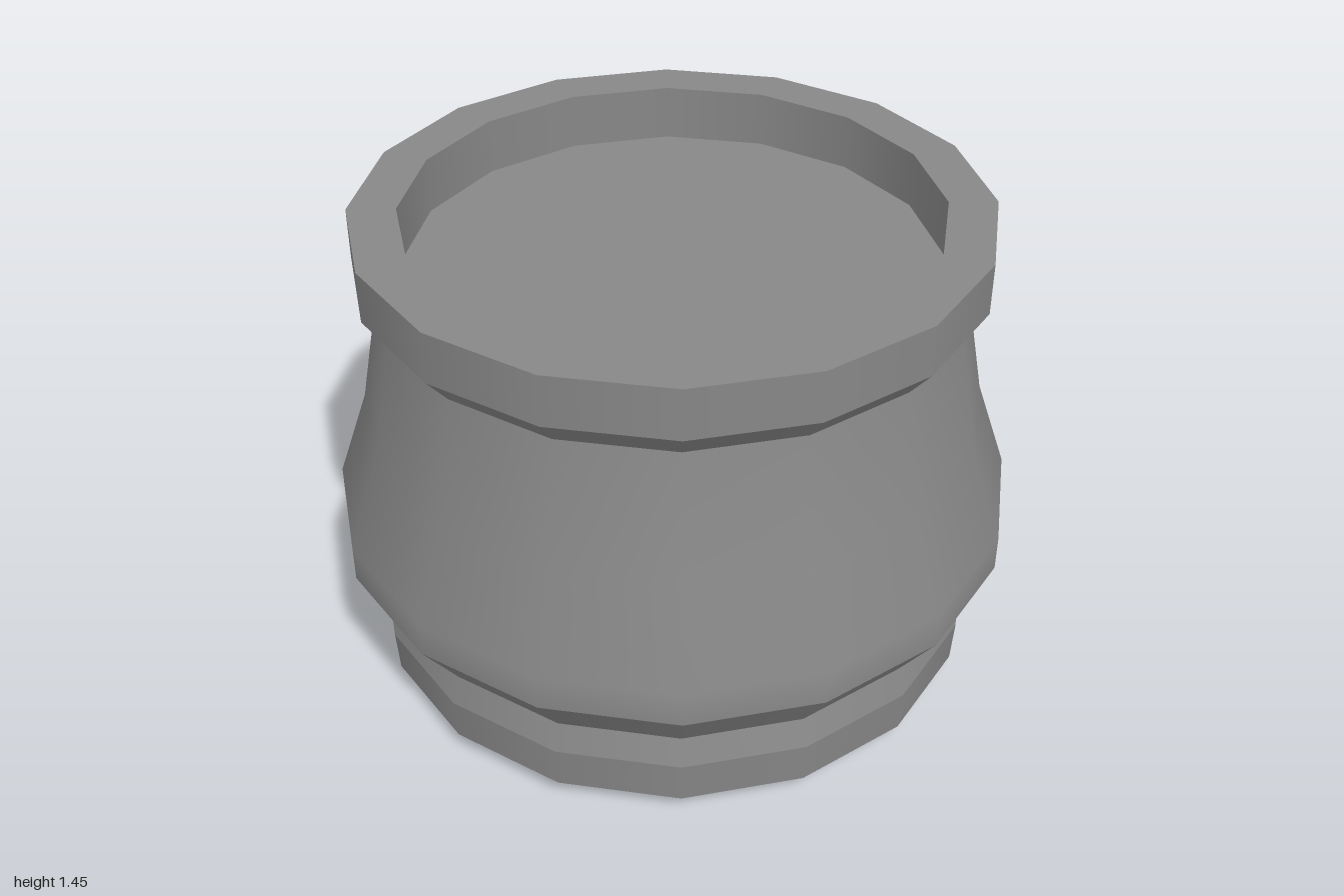
import * as THREE from 'three';

const SIDES = 16;
const FLOOR_RADIUS = 0.76;
const FLOOR_Y = 1.28;

export function createModel() {
  const group = new THREE.Group();
  group.name = 'pot';
  const material = new THREE.MeshStandardMaterial({ color: 0x878787 });

  const add = (name, geometry) => {
    const mesh = new THREE.Mesh(geometry, material);
    mesh.name = name;
    group.add(mesh);
    return mesh;
  };

  // Turned band from [radius, height] points: smooth inside, sharp where bands meet
  const band = (name, ...points) => {
    const profile = points.map(([r, y]) => new THREE.Vector2(r, y));
    add(name, new THREE.LatheGeometry(profile, SIDES));
  };

  // Flat disc facing up or down
  const disc = (name, y, up) => {
    const geometry = new THREE.CircleGeometry(FLOOR_RADIUS, SIDES);
    add(name, geometry.rotateX(up ? -Math.PI / 2 : Math.PI / 2)).position.y = y;
  };

  // Foot with bevelled underside and a sloping shoulder
  disc('underside', 0, false);
  band('footBevel', [FLOOR_RADIUS, 0], [0.9, 0.07]);
  band('foot', [0.9, 0.07], [0.908, 0.2]);
  band('footShoulder', [0.908, 0.2], [0.882, 0.285]);

  // Bulging body tapering to the neck
  band('bodyUnderside', [0.882, 0.285], [1, 0.452]);
  band('body', [1, 0.452], [1, 0.56], [0.906, 0.83], [0.833, 1.215]);

  // Flared rim with a shallow recess
  band('rimUnderside', [0.833, 1.215], [0.898, 1.295]);
  band('rim', [0.898, 1.295], [0.898, 1.445]);
  band('rimTop', [0.898, 1.445], [FLOOR_RADIUS, 1.445]);
  band('recessWall', [FLOOR_RADIUS, 1.445], [FLOOR_RADIUS, FLOOR_Y]);
  disc('recessFloor', FLOOR_Y, true);

  return group;
}
